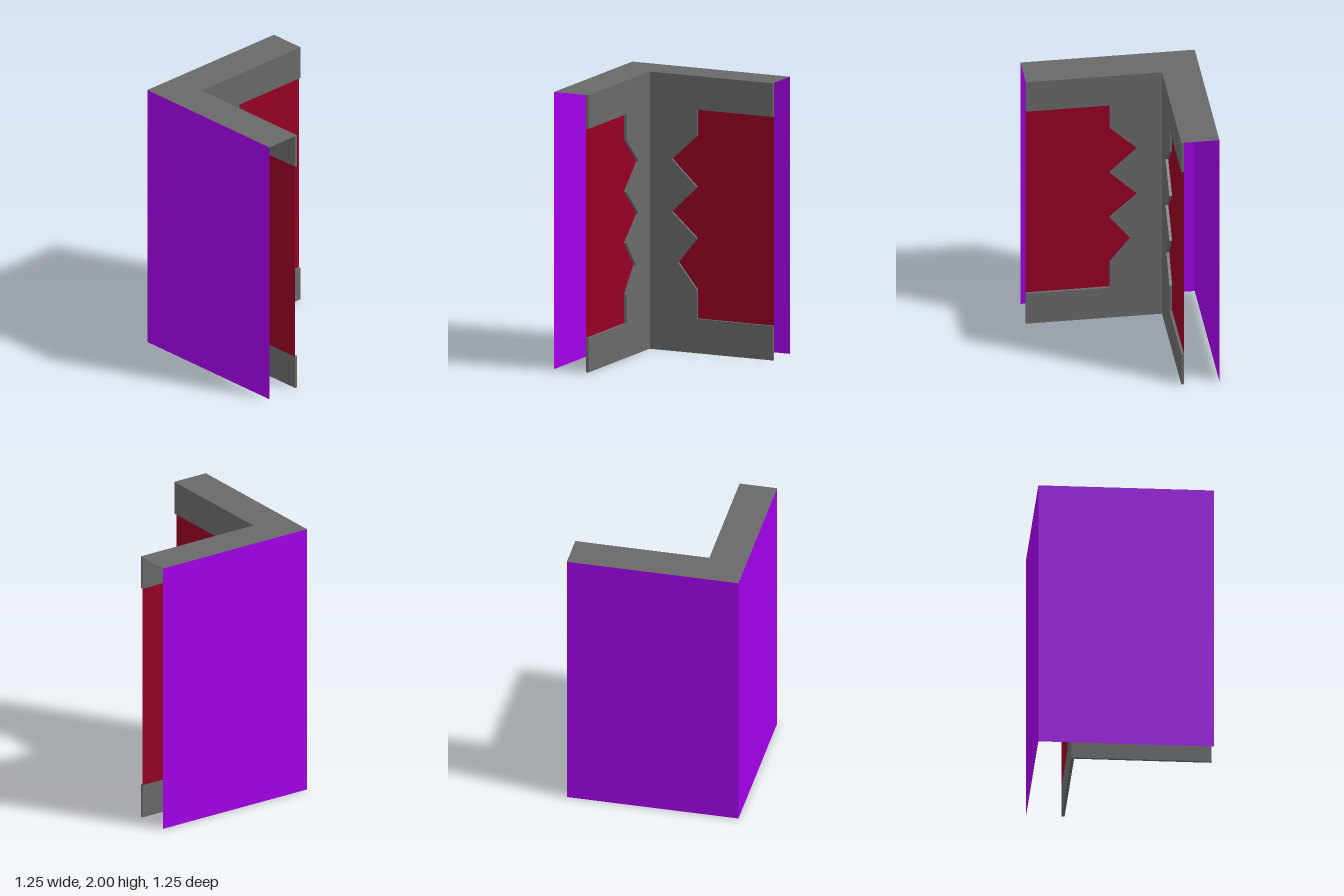
import * as THREE from 'three';

const OUT = 0.623, BACK = -0.37, FACE = -0.35, H = 2;

const material = (color) =>
  new THREE.MeshStandardMaterial({ color, side: THREE.DoubleSide, flatShading: true });
const grey = material(0x696969);
const purple = material(0xa200e8);
const red = material(0x960024);

// Jagged edge of the opening, from its top to its bottom
const jagged = [
  [OUT, 1.757], [0.022, 1.757], [0.022, 1.567], [-0.177, 1.383], [0.022, 1.197],
  [-0.177, 1.005], [0.022, 0.827], [-0.127, 0.642], [0.022, 0.457], [0.022, 0.248], [OUT, 0.248],
];
const shapeOf = (points) => new THREE.Shape(points.map(([x, y]) => new THREE.Vector2(x, y)));

function add(group, name, geometry, mat) {
  const mesh = new THREE.Mesh(geometry, mat);
  mesh.name = name;
  group.add(mesh);
  return mesh;
}

// One wing, drawn along local x; "start" is where its inner plate begins
function makeWing(name, start) {
  const wing = new THREE.Group();
  wing.name = name;

  // Inner plate with the opening cut in from its free end
  const plate = shapeOf([[start, 0], [start, H], [OUT, H], ...jagged, [OUT, 0]]);
  add(wing, 'innerPlate',
    new THREE.ExtrudeGeometry(plate, { depth: FACE - BACK, bevelEnabled: false }), grey);

  // Red panel closing the opening, level with the back of the plate
  add(wing, 'redPanel', new THREE.ShapeGeometry(shapeOf(jagged)), red);

  // Thin outer skin
  const skin = add(wing, 'outerSkin', new THREE.PlaneGeometry(2 * OUT, H), purple);
  skin.position.set(0, H / 2, -OUT - BACK);
  return wing;
}

export function createModel() {
  const model = new THREE.Group();
  model.name = 'cornerWall';

  const backWing = makeWing('backWing', BACK);
  backWing.position.z = BACK;
  model.add(backWing);

  // Side wing: the same wall mirrored across the corner diagonal
  const sideWing = makeWing('sideWing', FACE);
  sideWing.rotation.y = -Math.PI / 2;
  sideWing.scale.z = -1;
  sideWing.position.x = BACK;
  model.add(sideWing);

  // L-shaped top sheet; the ends and the bottom stay open
  const top = add(model, 'topSheet', new THREE.ShapeGeometry(shapeOf([
    [-OUT, -OUT], [FACE, -OUT], [FACE, -FACE], [OUT, -FACE], [OUT, OUT], [-OUT, OUT],
  ])), grey);
  top.rotation.x = -Math.PI / 2;
  top.position.y = H;

  return model;
}
